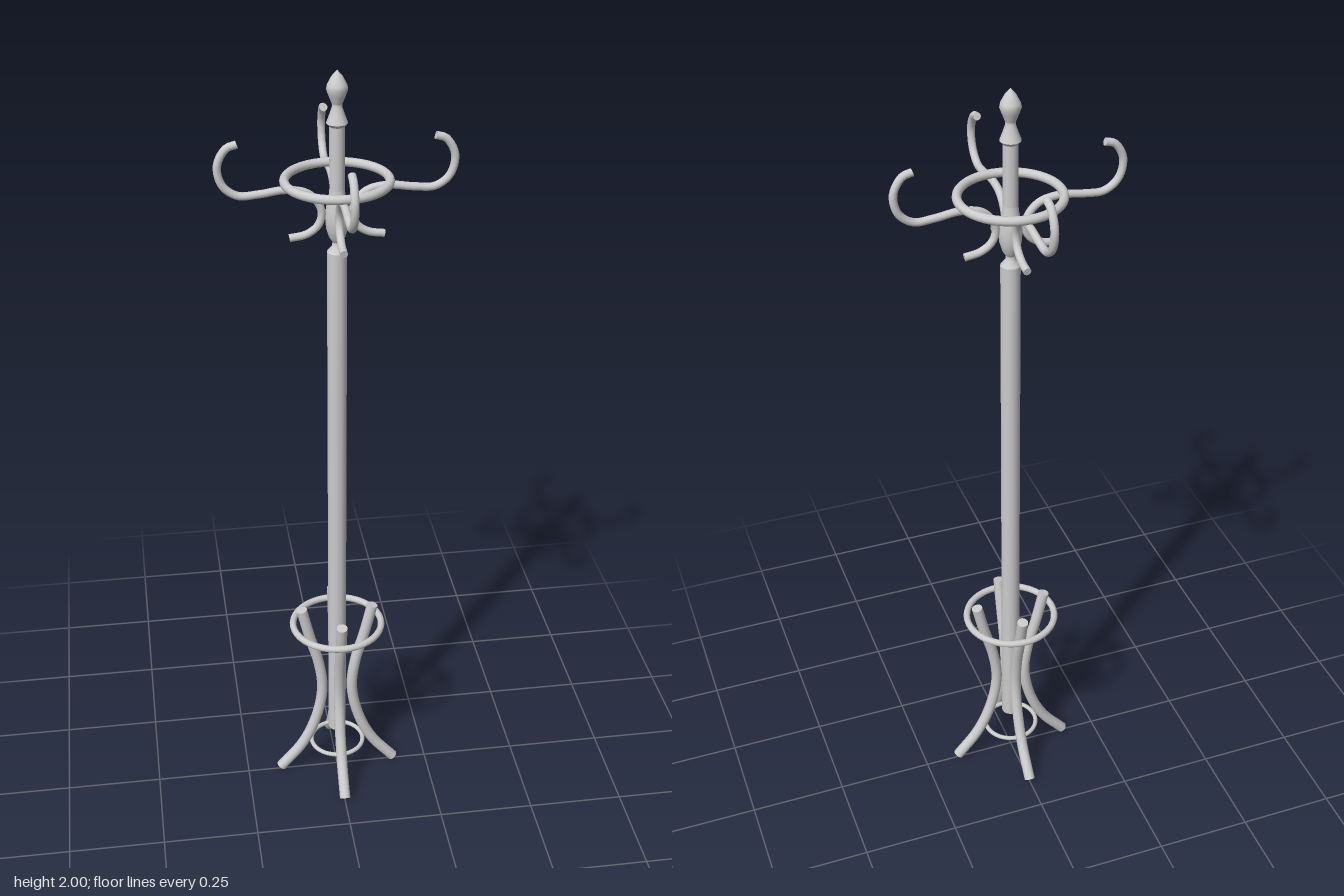
import * as THREE from 'three';

const material = new THREE.MeshStandardMaterial({ color: 0xcccccc });

function add(parent, name, geometry) {
  const mesh = new THREE.Mesh(geometry, material);
  mesh.name = name;
  parent.add(mesh);
  return mesh;
}

// Round bent rod through [radius, height] points, closed by flat ends
function bentRod(name, points, radius, segments) {
  const rod = new THREE.Group();
  rod.name = name;
  const curve = new THREE.CatmullRomCurve3(points.map(([x, y]) => new THREE.Vector3(x, y, 0)));
  add(rod, name + 'Rod', new THREE.TubeGeometry(curve, segments, radius, 14));
  for (const t of [0, 1]) {
    const cap = add(rod, name + 'End', new THREE.CircleGeometry(radius, 14));
    const out = curve.getTangentAt(t).multiplyScalar(t ? 1 : -1);
    cap.position.copy(curve.getPointAt(t));
    cap.quaternion.setFromUnitVectors(new THREE.Vector3(0, 0, 1), out);
  }
  return rod;
}

function ring(parent, name, y, radius, tube) {
  const mesh = add(parent, name, new THREE.TorusGeometry(radius, tube, 12, 40));
  mesh.rotation.x = Math.PI / 2;
  mesh.position.y = y;
}

// Turned part; each section is lathed apart so the edges between stay sharp
function turned(parent, name, sections) {
  const group = new THREE.Group();
  group.name = name;
  for (const section of sections) {
    const profile = section.map(([r, y]) => new THREE.Vector2(r, y));
    add(group, name + 'Section', new THREE.LatheGeometry(profile, 24));
  }
  parent.add(group);
}

export function createModel() {
  const stand = new THREE.Group();
  stand.name = 'coatStand';

  // Main pole
  const pole = add(stand, 'pole', new THREE.CylinderGeometry(0.024, 0.024, 1.425, 24));
  pole.position.y = 0.8525;

  // Neck, hook holder and slim upper column
  turned(stand, 'upperColumn', [
    [[0.024, 1.565], [0.012, 1.58], [0.011, 1.59]],
    [[0.011, 1.59], [0.019, 1.602], [0.026, 1.625], [0.028, 1.65], [0.026, 1.675], [0.02, 1.7], [0.018, 1.72]],
    [[0.018, 1.72], [0.018, 1.87]],
  ]);

  // Finial: flared skirt below a pointed bead
  turned(stand, 'finial', [
    [[0.018, 1.87], [0.025, 1.878]],
    [[0.025, 1.878], [0.018, 1.897], [0.012, 1.915], [0.012, 1.922]],
    [[0.012, 1.922], [0.02, 1.942], [0.025, 1.956], [0.023, 1.966], [0.013, 1.985], [0, 2]],
  ]);

  // Four double hooks and four splayed legs
  const hookPath = [
    [0.228, 1.838], [0.252, 1.83], [0.274, 1.79], [0.264, 1.742], [0.23, 1.716], [0.18, 1.717], [0.12, 1.724],
    [0.07, 1.714], [0.042, 1.685], [0.036, 1.658], [0.046, 1.631], [0.073, 1.612], [0.112, 1.605],
  ];
  const legPath = [
    [0.158, 0.0105], [0.098, 0.085], [0.06, 0.17], [0.041, 0.27], [0.05, 0.36], [0.074, 0.45], [0.095, 0.54],
  ];
  for (let i = 0; i < 4; i++) {
    const hook = bentRod('hook', hookPath, 0.0095, 56);
    const leg = bentRod('leg', legPath, 0.0145, 32);
    hook.rotation.y = leg.rotation.y = i * Math.PI / 2;
    stand.add(hook, leg);
  }

  // Rings tying hooks and legs together
  ring(stand, 'hookRing', 1.741, 0.122, 0.011);
  ring(stand, 'umbrellaRing', 0.49, 0.118, 0.009);
  ring(stand, 'footRing', 0.092, 0.071, 0.006);

  return stand;
}
